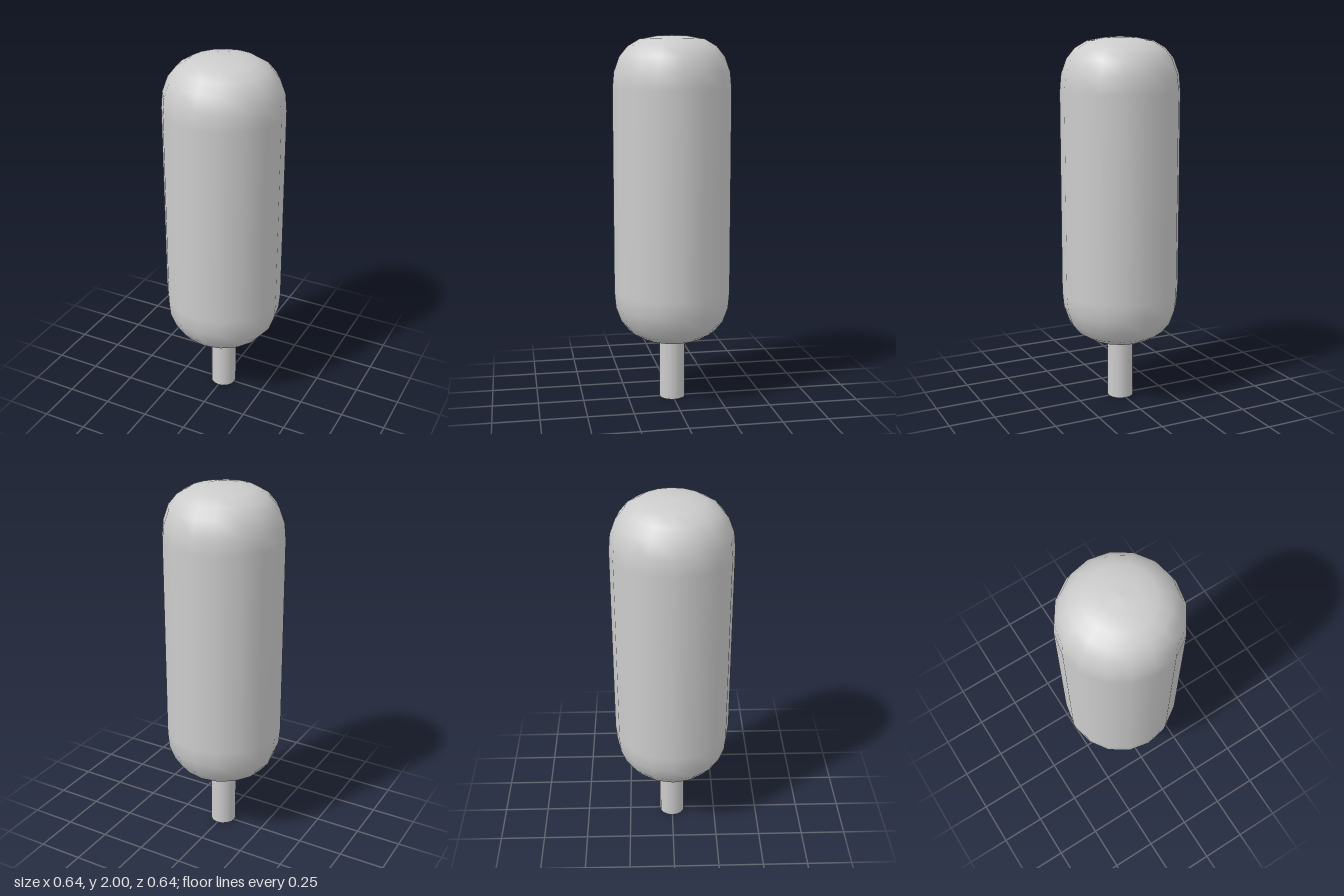
import * as THREE from 'three';

export function createModel() {
  const model = new THREE.Group();
  const grey = new THREE.MeshStandardMaterial({ color: 0xcccccc });
  grey.name = 'light grey';

  // Rounded capsule crown: the end curve as [radius, distance from the tip], used at both ends
  const end = [[0, 0], [0.09, 0.006], [0.175, 0.022], [0.24, 0.06], [0.285, 0.115], [0.314, 0.195], [0.322, 0.285]];
  const bottom = 0.33, top = 2;
  const profile = [
    ...end.map(([r, d]) => new THREE.Vector2(r, bottom + d)),
    ...end.map(([r, d]) => new THREE.Vector2(r, top - d)).reverse(),
  ];
  const crown = new THREE.Mesh(new THREE.LatheGeometry(profile, 16), grey);
  crown.name = 'crown';

  // Stem reaching a little way into the crown
  const stem = new THREE.Mesh(new THREE.CylinderGeometry(0.072, 0.072, 0.38, 16), grey);
  stem.name = 'stem';
  stem.position.y = 0.19;

  model.add(crown, stem);
  return model;
}
